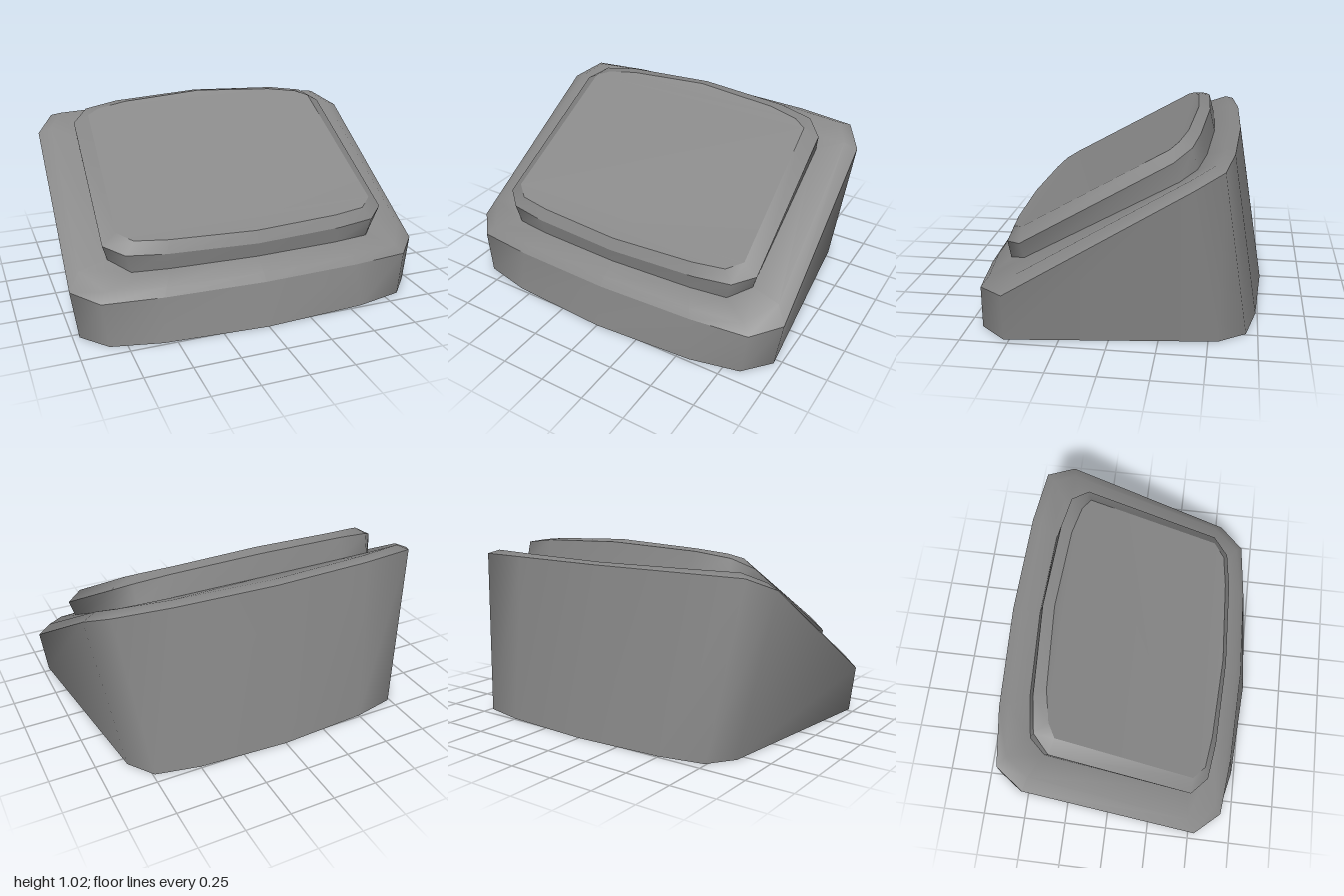
import * as THREE from 'three';
import { mergeGeometries, toCreasedNormals } from 'three/addons/utils/BufferGeometryUtils.js';

// Each ring lists its +x half from front centre to back centre; the -x half is mirrored.
function mirrorRing(half) {
  const left = half.slice(1, -1).reverse().map(([x, y, z]) => [-x, y, z]);
  return [...half, ...left];
}

// Turns a list of triangles into a smooth panel, sharp only at strong folds
function panel(tris) {
  const geo = new THREE.BufferGeometry();
  geo.setAttribute('position', new THREE.Float32BufferAttribute(tris.flat(2), 3));
  return toCreasedNormals(geo, 1.1);
}

// Walls between stacked rings, from bottom to top
function wallTris(halves) {
  const rings = halves.map(mirrorRing);
  const n = rings[0].length;
  const tris = [];
  for (let r = 0; r < rings.length - 1; r++) {
    const a = rings[r], b = rings[r + 1];
    for (let i = 0; i < n; i++) {
      const j = (i + 1) % n;
      tris.push([a[i], a[j], b[j]], [a[i], b[j], b[i]]);
    }
  }
  return tris;
}

// Flat cap made of strips running from left to right
function capTris(half, up) {
  const tris = [];
  const mirror = ([x, y, z]) => [-x, y, z];
  for (let i = 0; i < half.length - 1; i++) {
    const R0 = half[i], R1 = half[i + 1], L0 = mirror(R0), L1 = mirror(R1);
    if (R0[0] > 0) tris.push([L0, R0, R1]);
    if (R1[0] > 0) tris.push([L0, R1, L1]);
  }
  return up ? tris : tris.map(([a, b, c]) => [a, c, b]);
}

// Sloping deck that the raised pad sits on, level near the front
const deckY = (z) => 0.335 + 0.55 * Math.max(0, 0.53 - z);
const onDeck = (outline, offset) => outline.map(([x, z]) => [x, deckY(z) + offset, z]);

export function createModel() {
  const group = new THREE.Group();
  const material = new THREE.MeshStandardMaterial({ color: 0x888888 });
  const add = (name, panels) => {
    const mesh = new THREE.Mesh(mergeGeometries(panels.map(panel)), material);
    mesh.name = name;
    group.add(mesh);
  };

  // Wedge body: base, rim, bevel
  const base = [[0, 0, 0.77], [0.57, 0, 0.735], [0.84, 0, 0.675], [0.965, 0, 0.53],
    [0.84, 0, -0.55], [0.74, 0, -0.69], [0.5, 0, -0.74], [0, 0, -0.77]];
  const rim = [[0, 0.24, 0.72], [0.55, 0.24, 0.7], [0.87, 0.24, 0.665], [1, 0.26, 0.52],
    [0.97, 0.835, -0.42], [0.87, 0.9, -0.56], [0.56, 0.905, -0.6], [0, 0.905, -0.62]];
  const bevel = [[0, 0.28, 0.685], [0.53, 0.28, 0.67], [0.83, 0.285, 0.63], [0.94, 0.345, 0.47],
    [0.9, 0.865, -0.4], [0.82, 0.92, -0.515], [0.55, 0.92, -0.55], [0, 0.915, -0.57]];

  // Raised pad: foot on the deck, flared edge, bevelled top
  const foot = [[0, 0.595], [0.48, 0.575], [0.68, 0.55], [0.78, 0.45],
    [0.76, -0.34], [0.69, -0.42], [0.48, -0.455], [0, -0.475]];
  const flare = [[0, 0.415, 0.61], [0.5, 0.425, 0.59], [0.71, 0.435, 0.56], [0.81, 0.465, 0.47],
    [0.78, 0.91, -0.305], [0.69, 0.965, -0.39], [0.5, 0.99, -0.42], [0, 1.01, -0.445]];
  const top = [[0, 0.48, 0.585], [0.48, 0.49, 0.56], [0.66, 0.5, 0.535], [0.735, 0.53, 0.47],
    [0.7, 0.955, -0.28], [0.63, 0.978, -0.32], [0.46, 0.997, -0.355], [0, 1.02, -0.38]];

  const deck = onDeck(foot, 0);
  add('wedgeBody', [capTris(base, false), wallTris([base, rim]),
    [...wallTris([rim, bevel, deck]), ...capTris(deck, true)]]);

  const sunkFoot = onDeck(foot, -0.01);
  add('raisedPad', [capTris(sunkFoot, false), wallTris([sunkFoot, flare]),
    wallTris([flare, top]), capTris(top, true)]);

  return group;
}
